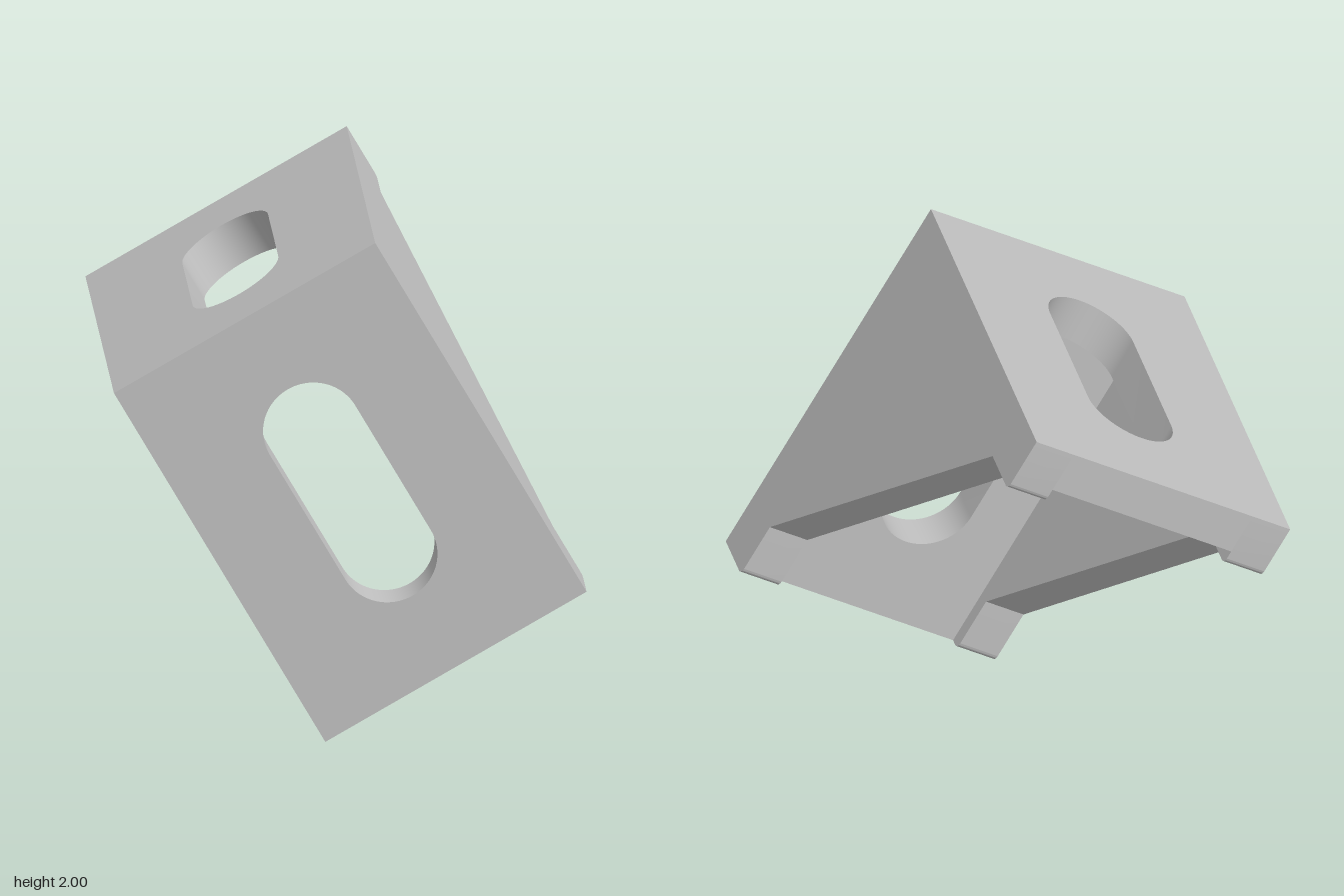
import * as THREE from 'three';
import { toCreasedNormals } from 'three/addons/utils/BufferGeometryUtils.js';

const W = 0.583;   // half width
const H = 0.817;   // half height and half depth
const T = 0.172;   // plate and wall thickness
const FOOT = 0.585; // inner edge of the wall feet
const R = 0.028;   // rounding of the foot tips

function extrude(shape) {
  const g = new THREE.ExtrudeGeometry(shape, { depth: T, bevelEnabled: false, curveSegments: 24 });
  return toCreasedNormals(g, 0.6);
}

// Rectangular plate with a long slot centred on the origin
function slottedPlate(y0, y1) {
  const w = W - T, r = 0.191, s = 0.292;
  const shape = new THREE.Shape();
  shape.moveTo(-w, y0);
  shape.lineTo(w, y0);
  shape.lineTo(w, y1);
  shape.lineTo(-w, y1);
  shape.closePath();
  const slot = new THREE.Path();
  slot.absarc(0, s, r, 0, Math.PI, false);
  slot.absarc(0, -s, r, Math.PI, Math.PI * 2, false);
  slot.closePath();
  shape.holes.push(slot);
  return extrude(shape);
}

// Triangular side wall, drawn as (z, y), with a squared foot at both ends
function sideWall() {
  const s = new THREE.Shape();
  s.moveTo(H, H);
  s.lineTo(-H, H);
  s.lineTo(-H, FOOT + R);
  s.absarc(-H + R, FOOT + R, R, Math.PI, Math.PI * 1.5, false);
  s.lineTo(-FOOT, FOOT);
  s.lineTo(FOOT, -FOOT);
  s.lineTo(FOOT, -H + R);
  s.absarc(FOOT + R, -H + R, R, Math.PI, Math.PI * 1.5, false);
  s.lineTo(H, -H);
  s.closePath();
  return extrude(s).rotateY(-Math.PI / 2);
}

export function createModel() {
  const metal = new THREE.MeshStandardMaterial({ color: 0xc0c0c0 });
  metal.name = 'light grey';

  const model = new THREE.Group();
  model.name = 'cornerBracket';
  const bracket = new THREE.Group();
  bracket.name = 'tiltedBracket';
  bracket.position.y = 1;
  bracket.rotation.z = Math.PI / 6;
  model.add(bracket);

  function add(name, geometry, x, y, z) {
    const mesh = new THREE.Mesh(geometry, metal);
    mesh.name = name;
    mesh.position.set(x, y, z);
    bracket.add(mesh);
  }

  // Slotted mounting plates, meeting at the top front edge
  add('frontPlate', slottedPlate(-H, H - T), 0, 0, H - T);
  add('topPlate', slottedPlate(-H, H).rotateX(-Math.PI / 2), 0, H - T, 0);

  // Gusset walls on both sides
  const wall = sideWall();
  add('leftWall', wall, W, 0, 0);
  add('rightWall', wall, -W + T, 0, 0);

  return model;
}
